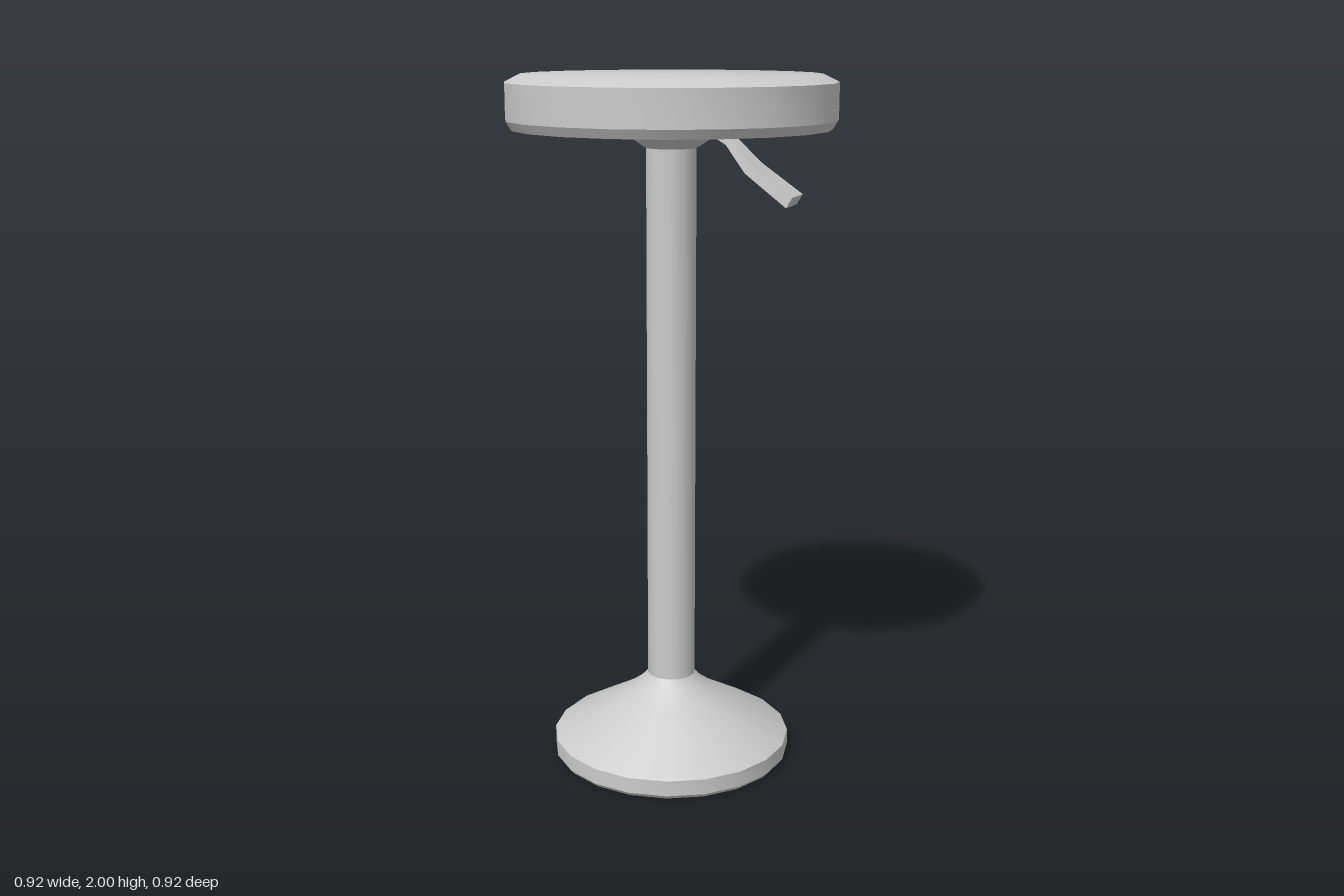
import * as THREE from 'three';
import { toCreasedNormals } from 'three/addons/utils/BufferGeometryUtils.js';

const material = new THREE.MeshStandardMaterial({ color: 0xcccccc });
const SIDES = 20;

function addMesh(group, name, geometry, crease) {
  const mesh = new THREE.Mesh(toCreasedNormals(geometry, crease), material);
  mesh.name = name;
  group.add(mesh);
}

// Turned part from [radius, height] pairs, listed bottom to top
function turned(profile) {
  return new THREE.LatheGeometry(profile.map(([r, y]) => new THREE.Vector2(r, y)), SIDES);
}

// Rectangular bar through stations [x, top y, bottom x, bottom y, back z, front z]
function bar(stations) {
  const positions = [];
  const index = [];
  for (const [x, y, bx, by, z0, z1] of stations) {
    positions.push(x, y, z0, x, y, z1, bx, by, z1, bx, by, z0);
  }
  const quad = (a, b, c, d) => index.push(a, b, c, a, c, d);
  for (let i = 0; i < stations.length - 1; i++) {
    for (let k = 0; k < 4; k++) {
      const a = i * 4 + k;
      const b = i * 4 + ((k + 1) % 4);
      quad(a, b, b + 4, a + 4);
    }
  }
  const e = (stations.length - 1) * 4;
  quad(3, 2, 1, 0);
  quad(e, e + 1, e + 2, e + 3);
  const geometry = new THREE.BufferGeometry();
  geometry.setAttribute('position', new THREE.Float32BufferAttribute(positions, 3));
  geometry.setIndex(index);
  return geometry;
}

export function createModel() {
  const stool = new THREE.Group();
  stool.name = 'barStool';

  // Bevelled round seat
  addMesh(stool, 'seat', turned([
    [0, 1.852], [0.445, 1.852], [0.46, 1.877], [0.46, 1.978], [0.415, 2], [0, 2],
  ]), 0.5);

  // Flared foot
  addMesh(stool, 'base', turned([
    [0, 0], [0.342, 0], [0.352, 0.012], [0.352, 0.058], [0.342, 0.066],
    [0.15, 0.175], [0.105, 0.208], [0.08, 0.232], [0.07, 0.245],
  ]), 0.6);

  // Straight column
  addMesh(stool, 'column', turned([[0.07, 0.24], [0.07, 1.805]]), 0.6);

  // Flared collar under the seat
  addMesh(stool, 'collar', turned([
    [0.07, 1.8], [0.08, 1.805], [0.12, 1.832], [0.165, 1.853],
  ]), 0.6);

  // Bent height lever, widening towards its tip
  addMesh(stool, 'heightLever', bar([
    [0.1, 1.852, 0.1, 1.84, -0.02, 0.043],
    [0.14, 1.846, 0.135, 1.836, -0.02, 0.043],
    [0.187, 1.828, 0.175, 1.815, -0.022, 0.05],
    [0.25, 1.765, 0.235, 1.743, -0.033, 0.07],
    [0.372, 1.683, 0.355, 1.655, -0.025, 0.08],
  ]), 0.5);

  return stool;
}
